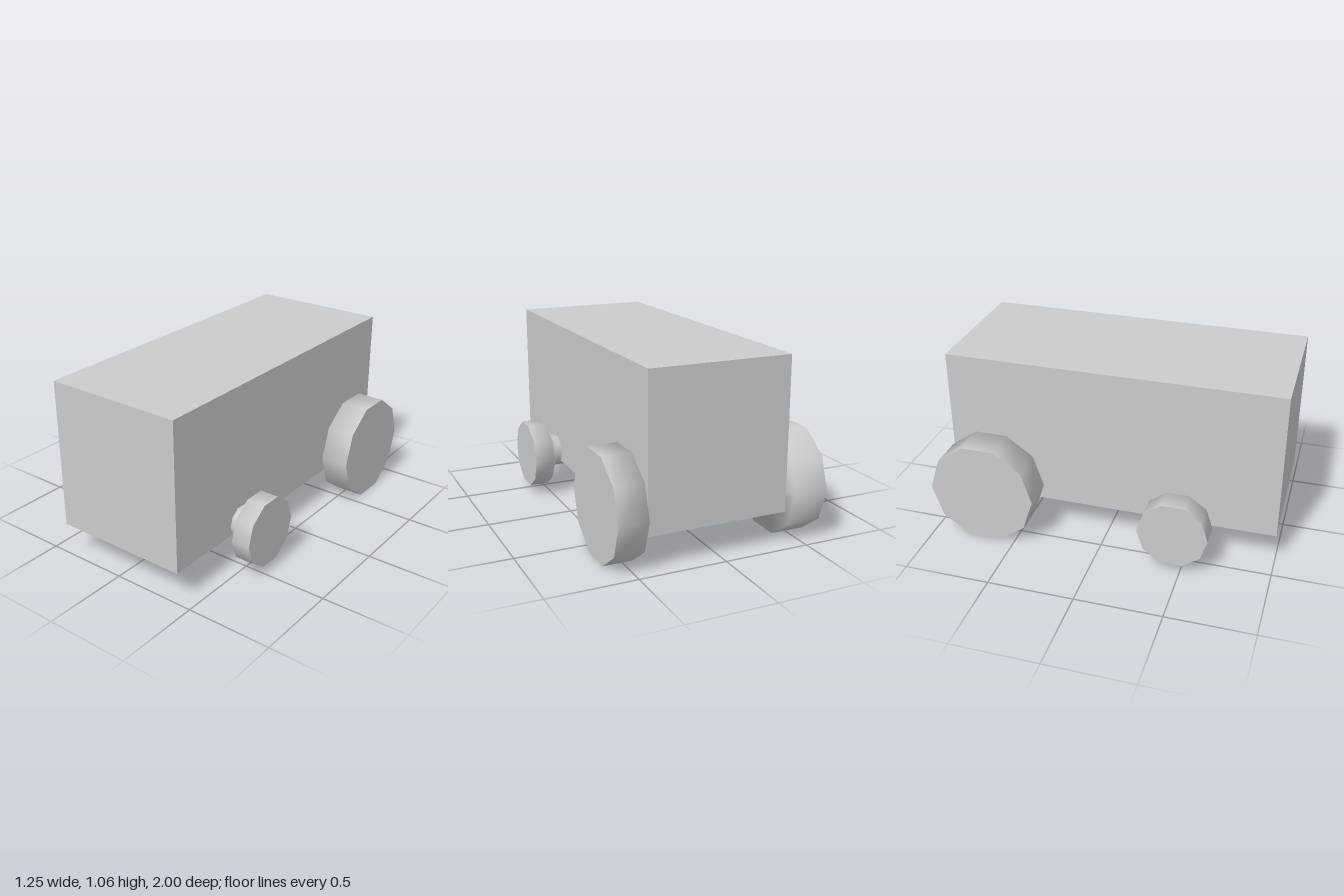
import * as THREE from 'three';

const SIDES = 10;
const material = new THREE.MeshStandardMaterial({ color: 0xcccccc, side: THREE.DoubleSide });

// Axle and both wheels: one smooth turned profile of [radius, x], closed by flat hub faces
function wheelSet(name, profile, y, z) {
  const group = new THREE.Group();
  group.name = name;
  const points = profile.map(([r, x]) => new THREE.Vector2(r, x));
  const turned = new THREE.Mesh(new THREE.LatheGeometry(points, SIDES).rotateZ(-Math.PI / 2), material);
  turned.name = 'axleAndRims';
  group.add(turned);
  for (const [side, end] of [[-1, profile[0]], [1, profile[profile.length - 1]]]) {
    const face = new THREE.CircleGeometry(end[0], SIDES).rotateY(side * Math.PI / 2);
    const hub = new THREE.Mesh(face, material);
    hub.name = side > 0 ? 'leftWheelFace' : 'rightWheelFace';
    hub.position.x = end[1];
    group.add(hub);
  }
  group.position.set(0, y, z);
  return group;
}

export function createModel() {
  const model = new THREE.Group();
  model.name = 'cart';

  // Box body
  const body = new THREE.Mesh(new THREE.BoxGeometry(0.815, 0.87, 1.94), material);
  body.name = 'body';
  body.position.set(0.016, 0.626, 0.03);
  model.add(body);

  // Small front wheels with tapered inner sides
  model.add(wheelSet('frontWheels', [
    [0.202, -0.626], [0.202, -0.492], [0.095, -0.45],
    [0.095, 0.46], [0.202, 0.512], [0.202, 0.624],
  ], 0.245, 0.45));

  // Large rear wheels with straight inner sides
  model.add(wheelSet('rearWheels', [
    [0.313, -0.614], [0.313, -0.415], [0.149, -0.415],
    [0.149, 0.441], [0.313, 0.441], [0.313, 0.61],
  ], 0.298, -0.687));

  return model;
}
